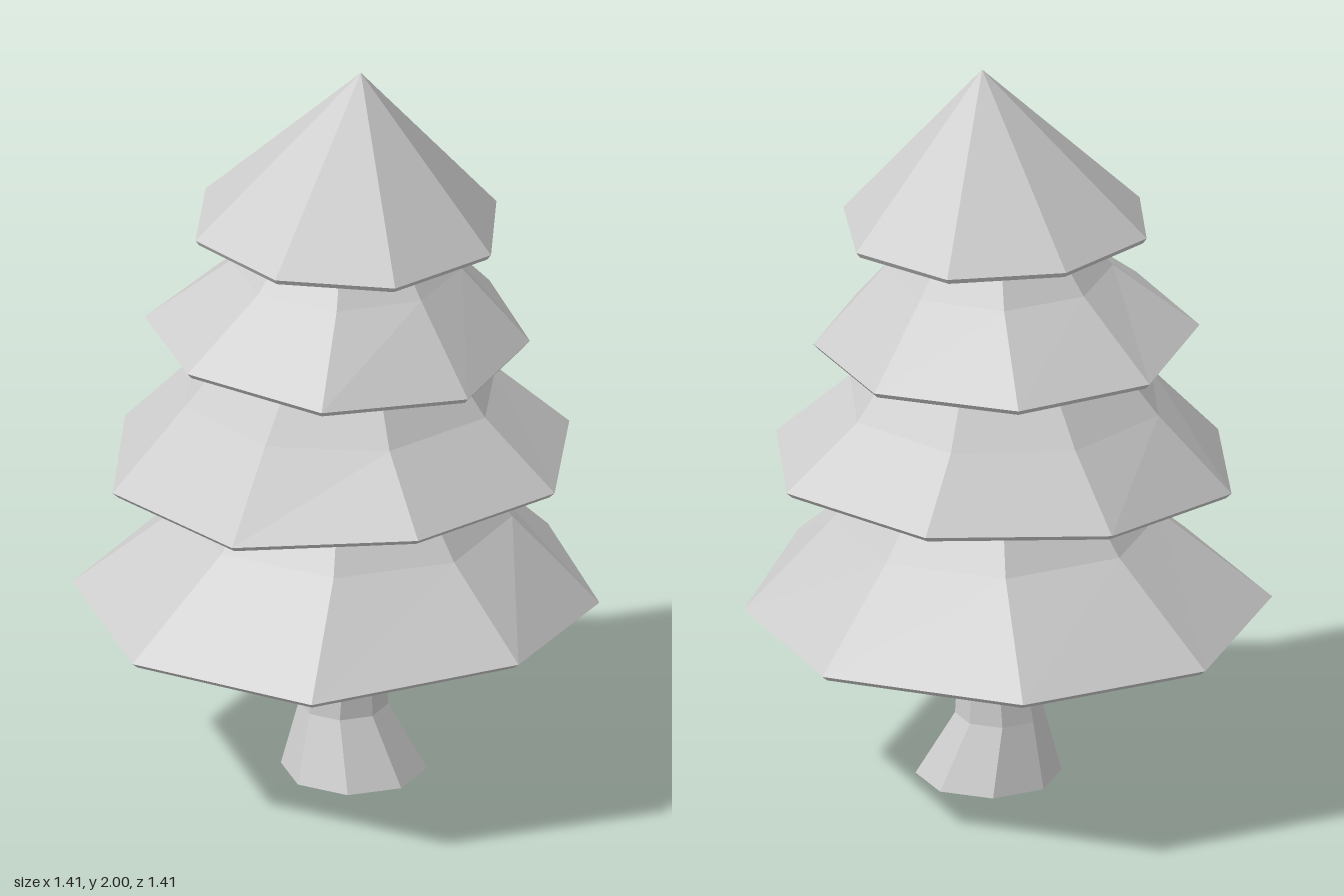
import * as THREE from 'three';

const SIDES = 8;
const material = new THREE.MeshStandardMaterial({ color: 0xcccccc, flatShading: true, side: THREE.DoubleSide });

// Regular octagon ring; turn is in radians, radius 0 makes a closing point
function ring(x, y, z, radius, turn = 0) {
  return Array.from({ length: SIDES }, (_, i) => {
    const a = turn + (i * Math.PI * 2) / SIDES;
    return new THREE.Vector3(x + radius * Math.cos(a), y, z + radius * Math.sin(a));
  });
}

// Faceted skin joining successive rings
function loft(name, rings) {
  const points = [];
  const face = (a, b, c) => {
    if (a.equals(b) || b.equals(c) || a.equals(c)) return;
    points.push(a, b, c);
  };
  for (let r = 0; r < rings.length - 1; r++) {
    for (let i = 0; i < SIDES; i++) {
      const j = (i + 1) % SIDES;
      const [low, high] = [rings[r], rings[r + 1]];
      face(low[i], high[i], low[j]);
      face(low[j], high[i], high[j]);
    }
  }
  const geometry = new THREE.BufferGeometry().setFromPoints(points);
  geometry.computeVertexNormals();
  const mesh = new THREE.Mesh(geometry, material);
  mesh.name = name;
  return mesh;
}

// Rim corners run from +x towards +z; upper rings are [x, y, z, radius]
const tiers = [
  {
    name: 'bottomBranches', turn: 0, hollow: 0.66,
    rim: [[0.705, 0.515, -0.03], [0.5, 0.485, 0.51], [0, 0.487, 0.705], [-0.5, 0.49, 0.49],
      [-0.708, 0.487, -0.01], [-0.51, 0.49, -0.51], [0.02, 0.487, -0.708], [0.49, 0.485, -0.49]],
    upper: [[0.025, 0.73, -0.015, 0.435], [0.025, 0.98, -0.015, 0.23], [0.025, 1, -0.015, 0]],
  },
  {
    name: 'lowerMiddleBranches', turn: Math.PI / 8, hollow: 0.98,
    rim: [[0.58, 0.9, 0.21], [0.24, 0.865, 0.565], [-0.23, 0.865, 0.58], [-0.57, 0.875, 0.25],
      [-0.57, 0.9, -0.225], [-0.22, 0.905, -0.57], [0.26, 0.905, -0.58], [0.58, 0.9, -0.26]],
    upper: [[0, 1.08, -0.01, 0.43], [0.015, 1.34, -0.015, 0.22], [0.015, 1.36, -0.015, 0]],
  },
  {
    name: 'upperMiddleBranches', turn: 0, hollow: 1.33,
    rim: [[0.522, 1.225, -0.01], [0.375, 1.245, 0.37], [0, 1.27, 0.515], [-0.36, 1.265, 0.36],
      [-0.512, 1.25, -0.01], [-0.37, 1.245, -0.37], [0.005, 1.24, -0.52], [0.36, 1.235, -0.36]],
    upper: [[0.02, 1.44, -0.015, 0.305], [0.02, 1.64, -0.02, 0.14], [0.02, 1.66, -0.02, 0]],
  },
  {
    name: 'topBranches', turn: Math.PI / 8, hollow: 1.63,
    rim: [[0.415, 1.555, 0.15], [0.18, 1.56, 0.365], [-0.14, 1.565, 0.37], [-0.36, 1.575, 0.15],
      [-0.36, 1.575, -0.17], [-0.15, 1.57, -0.405], [0.17, 1.56, -0.405], [0.415, 1.555, -0.18]],
    upper: [[0.055, 2, -0.035, 0]],
  },
];

function branchTier({ name, turn, hollow, rim, upper }) {
  const edge = rim.map((p) => new THREE.Vector3(...p));
  // Small bevel tucked under the rim
  const lip = edge.map((p) => new THREE.Vector3(p.x * 0.975, p.y - 0.015, p.z * 0.975));
  return loft(name, [
    ring(0.02, hollow, -0.01, 0),
    lip,
    edge,
    ...upper.map(([x, y, z, radius]) => ring(x, y, z, radius, turn)),
  ]);
}

export function createModel() {
  const tree = new THREE.Group();
  tree.name = 'pineTree';

  // Trunk, flared and open at the foot
  tree.add(loft('trunk', [
    ring(0.048, 0, -0.017, 0.193),
    ring(0.018, 0.175, -0.007, 0.118),
    ring(0.035, 0.42, -0.01, 0.088),
    ring(0.035, 0.7, -0.01, 0.088),
  ]));

  // Four overlapping skirts of foliage
  tiers.forEach((tier) => tree.add(branchTier(tier)));
  return tree;
}
